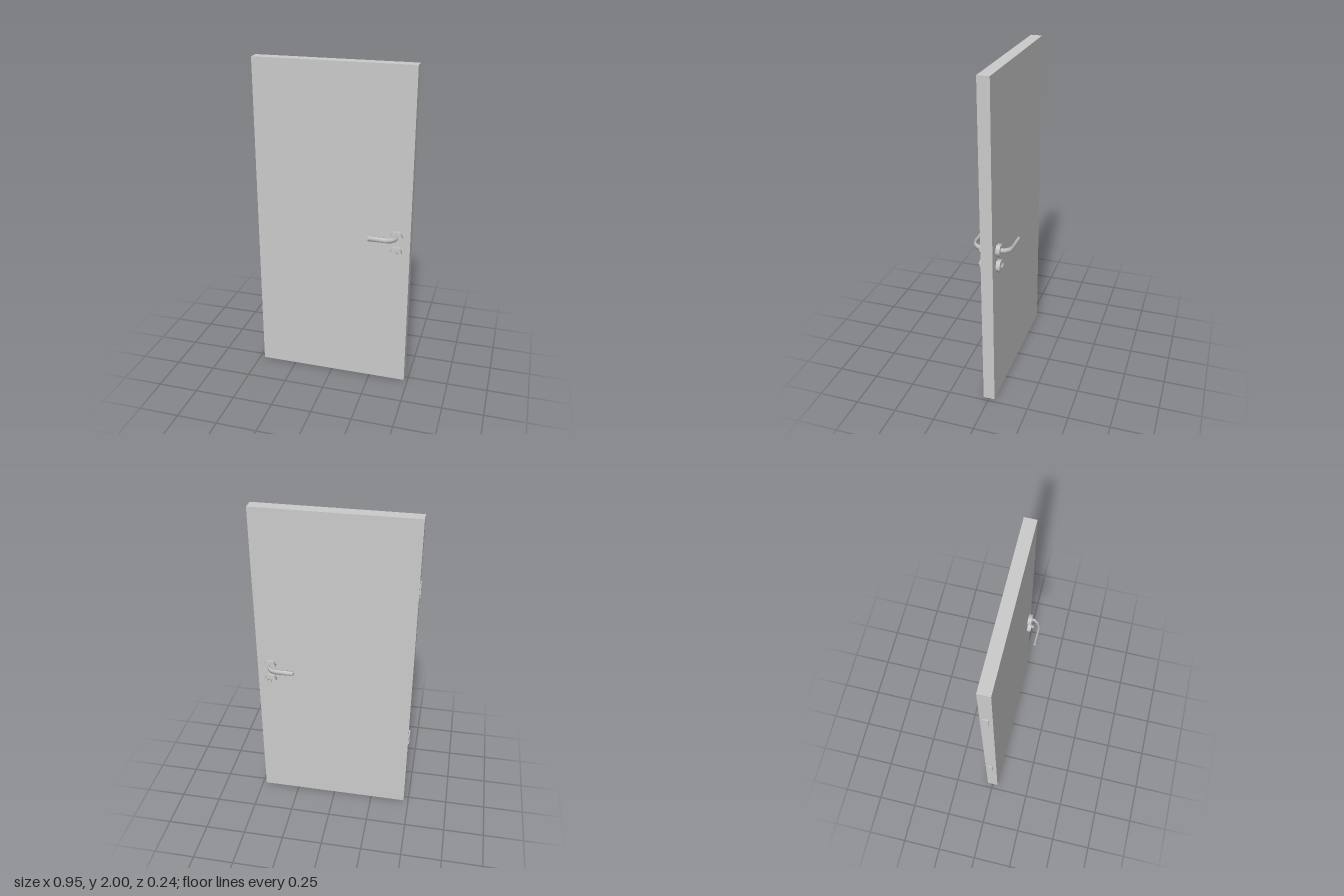
import * as THREE from 'three';

const material = new THREE.MeshStandardMaterial({ color: 0xcccccc });
const DOOR_HALF = 0.035;
const LOCK_X = 0.396;

function part(name, geometry, x = 0, y = 0, z = 0) {
  const mesh = new THREE.Mesh(geometry, material);
  mesh.name = name;
  mesh.position.set(x, y, z);
  return mesh;
}

// Prism along z from z0 to z1, with one corner pointing to +x
function prism(name, radius, sides, z0, z1) {
  const g = new THREE.CylinderGeometry(radius, radius, z1 - z0, sides, 1, false, Math.PI / 2);
  g.rotateX(Math.PI / 2);
  return part(name, g, 0, 0, (z0 + z1) / 2);
}

// Six-sided bar, taller than deep, swept along [x, z] points
function leverGeometry(path, depth, height, sides = 6) {
  const pts = path.map(([x, z]) => new THREE.Vector3(x, 0, z));
  const up = new THREE.Vector3(0, 1, 0);
  const positions = [], index = [];
  const addRing = (i) => {
    const a = pts[Math.max(i - 1, 0)], b = pts[Math.min(i + 1, pts.length - 1)];
    const across = up.clone().cross(b.clone().sub(a).normalize());
    for (let j = 0; j < sides; j++) {
      const t = (j / sides) * Math.PI * 2;
      const p = pts[i].clone().addScaledVector(across, depth * Math.cos(t));
      positions.push(p.x, height * Math.sin(t), p.z);
    }
  };
  pts.forEach((_, i) => addRing(i));
  for (let i = 0; i < pts.length - 1; i++) {
    for (let j = 0; j < sides; j++) {
      const k = (j + 1) % sides;
      const a = i * sides + j, b = i * sides + k;
      index.push(a, b, b + sides, a, b + sides, a + sides);
    }
  }
  // Flat cap at the free end
  const cap = positions.length / 3;
  addRing(pts.length - 1);
  for (let j = 1; j < sides - 1; j++) index.push(cap, cap + j, cap + j + 1);

  const g = new THREE.BufferGeometry();
  g.setAttribute('position', new THREE.Float32BufferAttribute(positions, 3));
  g.setIndex(index);
  g.computeVertexNormals();
  return g;
}

// Lever handle with its rosette, for one face of the door
function handleSet() {
  const set = new THREE.Group();
  const path = [[0.006, 0.05], [0.004, 0.062], [0, 0.08], [-0.019, 0.102], [-0.048, 0.111], [-0.158, 0.111]];
  set.add(prism('handleRosette', 0.037, 6, DOOR_HALF, 0.059));
  set.add(part('lever', leverGeometry(path, 0.008, 0.0175)));
  return set;
}

// Lock rosette with its cylinder core
function lockSet() {
  const set = new THREE.Group();
  set.add(prism('lockRosette', 0.037, 6, DOOR_HALF, 0.059));
  set.add(prism('lockCore', 0.017, 3, 0.059, 0.072));
  return set;
}

export function createModel() {
  const model = new THREE.Group();
  model.name = 'door';
  model.add(part('doorLeaf', new THREE.BoxGeometry(0.947, 2, DOOR_HALF * 2), 0.0035, 1, 0));

  // Hinge plates on the edge away from the handle
  for (const [name, y] of [['lowerHinge', 0.525], ['upperHinge', 1.578]]) {
    model.add(part(name, new THREE.BoxGeometry(0.012, 0.085, 0.03), -0.471, y, -0.003));
  }

  // Same fittings on both faces; turning about x keeps the levers pointing to -x
  for (const [side, turn] of [['front', 0], ['back', Math.PI]]) {
    for (const [name, set, y] of [['Handle', handleSet(), 1], ['Lock', lockSet(), 0.9]]) {
      set.name = side + name;
      set.position.set(LOCK_X, y, 0);
      set.rotation.x = turn;
      model.add(set);
    }
  }
  return model;
}
